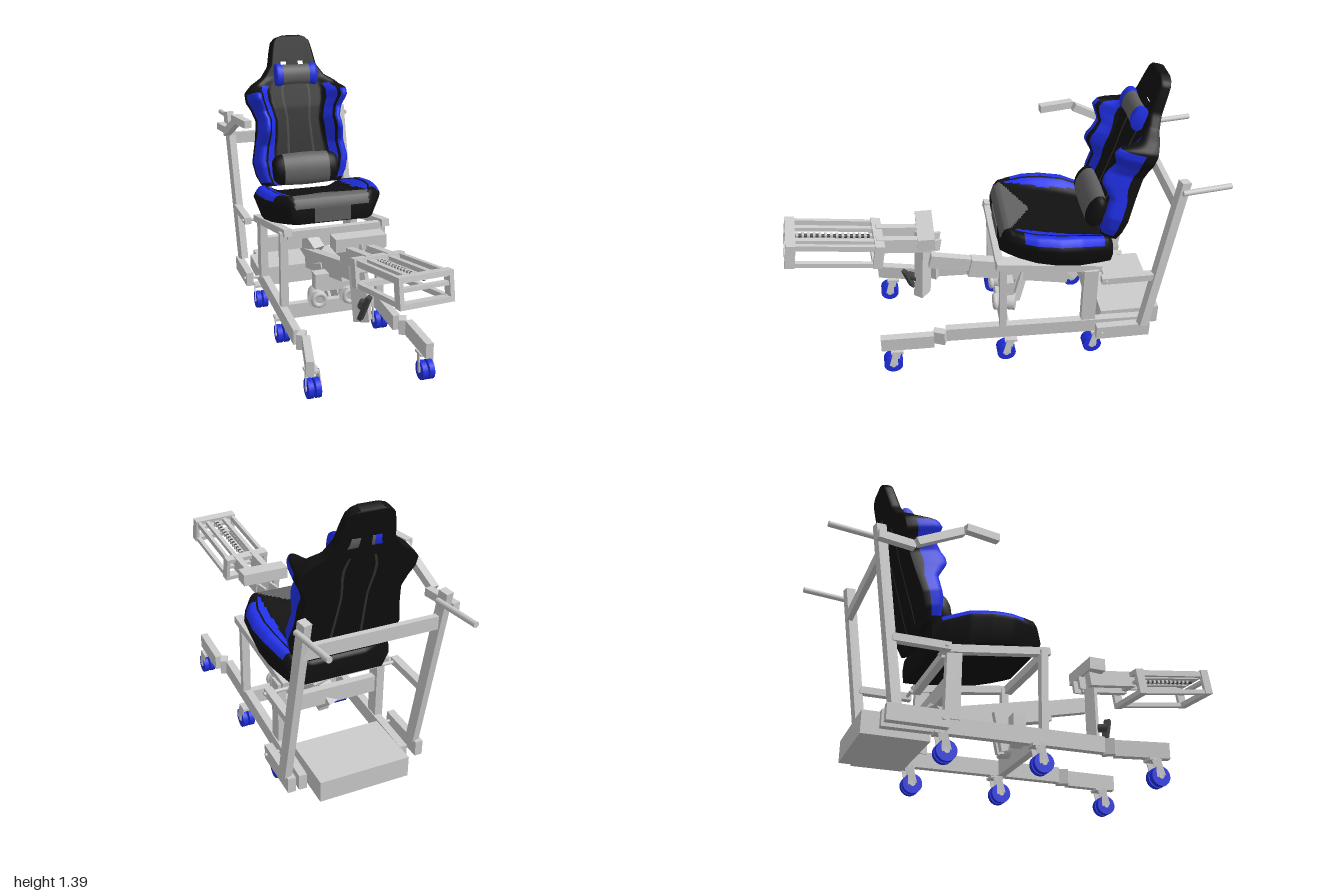
import * as THREE from 'three';

const mat = (color, side = THREE.FrontSide) => new THREE.MeshStandardMaterial({ color, side });
const GREY = mat(0xcccccc);
const BLACK = mat(0x111111, THREE.DoubleSide), BLUE = mat(0x2030e8, THREE.DoubleSide);
const CLOTH = mat(0x606060, THREE.DoubleSide), TRIM = mat(0x363630, THREE.DoubleSide), DARK = mat(0x444444);
const V = (x, y, z) => new THREE.Vector3(x, y, z);

function add(parent, name, geo, material, x = 0, y = 0, z = 0) {
  const m = new THREE.Mesh(geo, material);
  m.name = name;
  m.position.set(x, y, z);
  parent.add(m);
  return m;
}
const box = (p, name, w, h, d, x, y, z, material = GREY) => add(p, name, new THREE.BoxGeometry(w, h, d), material, x, y, z);

// Square bar between two points; w is its horizontal width, h its depth
function bar(p, name, a, b, w, h, material = GREY) {
  const m = box(p, name, w, h, a.distanceTo(b), ...a.clone().lerp(b, 0.5).toArray(), material);
  m.lookAt(b);
  return m;
}
const path = (p, name, pts, w, h) => pts.slice(1).forEach((q, i) => bar(p, name, pts[i], q, w, h));

function rod(p, name, a, b, r, material = GREY) {
  const geo = new THREE.CylinderGeometry(r, r, a.distanceTo(b), 16).rotateX(Math.PI / 2);
  const m = add(p, name, geo, material, ...a.clone().lerp(b, 0.5).toArray());
  m.lookAt(b);
  return m;
}

// Piecewise-linear lookup in [position, value] pairs
function lookup(table, t) {
  if (t <= table[0][0]) return table[0][1];
  for (let i = 1; i < table.length; i++) {
    const [a, av] = table[i - 1], [b, bv] = table[i];
    if (t <= b) return av + (bv - av) * (t - a) / (b - a);
  }
  return table[table.length - 1][1];
}

// Cushion made of a face sheet and an under sheet joined at the rim; paint() picks the cloth per cell
function cushion(p, name, nu, nv, face, under, paint) {
  const pos = [], buckets = new Map();
  const id = (s, i, j) => s * (nu + 1) * (nv + 1) + j * (nu + 1) + i;
  for (const fn of [face, under]) for (let j = 0; j <= nv; j++) for (let i = 0; i <= nu; i++)
    pos.push(...fn(i / nu * 2 - 1, j / nv));
  const quad = (m, a, b, c, d) => {
    if (!m) return;
    if (!buckets.has(m)) buckets.set(m, []);
    buckets.get(m).push(a, b, c, a, c, d);
  };
  for (let j = 0; j < nv; j++) {
    for (let i = 0; i < nu; i++) for (const s of [0, 1]) {
      const q = [id(s, i, j), id(s, i + 1, j), id(s, i + 1, j + 1), id(s, i, j + 1)];
      quad(paint((i + 0.5) / nu * 2 - 1, (j + 0.5) / nv, s), ...(s ? q.reverse() : q));
    }
    quad(BLACK, id(0, nu, j), id(1, nu, j), id(1, nu, j + 1), id(0, nu, j + 1));
    quad(BLACK, id(1, 0, j), id(0, 0, j), id(0, 0, j + 1), id(1, 0, j + 1));
  }
  for (let i = 0; i < nu; i++) {
    quad(BLACK, id(1, i, 0), id(1, i + 1, 0), id(0, i + 1, 0), id(0, i, 0));
    quad(BLACK, id(0, i, nv), id(0, i + 1, nv), id(1, i + 1, nv), id(1, i, nv));
  }
  const whole = new THREE.BufferGeometry();
  whole.setAttribute('position', new THREE.Float32BufferAttribute(pos, 3));
  whole.setIndex([...buckets.values()].flat());
  whole.computeVertexNormals();
  for (const [m, index] of buckets) {
    const g = new THREE.BufferGeometry();
    g.setAttribute('position', whole.attributes.position);
    g.setAttribute('normal', whole.attributes.normal);
    g.setIndex(index);
    add(p, name, g, m);
  }
}

// Round pillow lying along x with differently coloured ends
function pillow(p, name, pts, split, depth, mid, end, y, z) {
  const g = new THREE.Group();
  g.name = name;
  const full = [...pts.map(([x, r]) => [-x, r]).reverse(), ...pts];
  const piece = (f, m) => {
    const geo = new THREE.LatheGeometry(full.filter(f).map(([x, r]) => new THREE.Vector2(r, x)), 28);
    add(g, name, geo.rotateZ(-Math.PI / 2).scale(1, 1, depth), m);
  };
  piece(([x]) => Math.abs(x) <= split, mid);
  piece(([x]) => x >= split, end);
  piece(([x]) => x <= -split, end);
  g.position.set(0, y, z);
  p.add(g);
}

function caster(p, x, z) {
  const g = new THREE.Group();
  g.name = 'caster';
  for (const s of [-1, 1]) {
    const tyre = new THREE.CylinderGeometry(0.045, 0.045, 0.024, 24).rotateZ(Math.PI / 2);
    add(g, 'wheel', tyre, BLUE, s * 0.017, 0.047, 0);
    rod(g, 'hub', V(s * 0.028, 0.047, 0), V(s * 0.033, 0.047, 0), 0.013);
    bar(g, 'fork', V(s * 0.031, 0.045, 0), V(s * 0.027, 0.128, -0.022), 0.004, 0.04);
  }
  box(g, 'forkTop', 0.06, 0.012, 0.06, 0, 0.122, -0.022);
  g.position.set(x, 0, z);
  p.add(g);
}

function buildFrame(p) {
  for (const s of [-1, 1]) {
    const x = s * 0.244, o = s * 0.31;
    path(p, 'baseRail', [V(x, 0.163, -0.7), V(x, 0.163, 0.28), V(s * 0.25, 0.163, 0.34), V(s * 0.275, 0.163, 0.59)], 0.036, 0.073);
    box(p, 'frontPost', 0.038, 0.38, 0.033, x, 0.385, 0.005);
    box(p, 'rearPost', 0.038, 0.31, 0.068, x, 0.345, -0.41);
    bar(p, 'seatRail', V(x, 0.58, 0.04), V(x, 0.497, -0.46), 0.038, 0.035);
    box(p, 'lowerClamp', 0.036, 0.073, 0.26, o, 0.163, -0.57);
    box(p, 'upperClamp', 0.036, 0.034, 0.25, o, 0.487, -0.57);
    bar(p, 'backUpright', V(o, 0.2, -0.662), V(o, 0.995, -0.785), 0.038, 0.046);
    rod(p, 'pushHandle', V(o, 0.952, -0.77), V(o, 0.952, -1), 0.013);
    for (const y of [0.163, 0.487]) rod(p, 'pin', V(s * 0.22, y, -0.465), V(s * 0.337, y, -0.465), 0.008);
    caster(p, s * 0.265, 0.54);
    caster(p, s * 0.254, -0.01);
    caster(p, s * 0.254, -0.435);
  }
  box(p, 'frontCrossbar', 0.46, 0.073, 0.035, 0, 0.163, -0.01);
  box(p, 'rearCrossbar', 0.46, 0.08, 0.035, 0, 0.365, -0.41);
  box(p, 'seatFrontBar', 0.46, 0.04, 0.035, 0, 0.565, 0.02);
  box(p, 'seatRearBar', 0.46, 0.035, 0.035, 0, 0.49, -0.44);
  box(p, 'pushBar', 0.6, 0.06, 0.026, 0, 0.855, -0.772);
  box(p, 'ballastBox', 0.425, 0.1, 0.29, 0, 0.148, -0.63);
  path(p, 'armrest', [V(-0.355, 1.042, -0.25), V(-0.355, 1.042, -0.415), V(-0.355, 0.92, -0.63), V(-0.355, 0.92, -0.8)], 0.036, 0.036);
}

function buildLegSupport(p) {
  const x = 0.008;
  bar(p, 'mainBeam', V(x, 0.455, 0.33), V(x, 0.285, -0.37), 0.036, 0.072);
  bar(p, 'beamSleeve', V(x, 0.4, 0.14), V(x, 0.281, -0.36), 0.05, 0.1);
  bar(p, 'beamMount', V(x, 0.31, -0.34), V(x, 0.37, -0.41), 0.07, 0.1);
  bar(p, 'supportPost', V(x, 0.25, 0.375), V(x, 0.62, 0.352), 0.048, 0.074);
  box(p, 'crossPlate', 0.235, 0.06, 0.08, x, 0.625, 0.345);
  rod(p, 'clampKnob', V(x, 0.35, 0.39), V(x, 0.35, 0.44), 0.02, DARK);
  bar(p, 'clampLever', V(x, 0.4, 0.455), V(x, 0.28, 0.42), 0.03, 0.02, DARK);
  // Roller bracket and strut beneath the beam
  box(p, 'rollerBracket', 0.18, 0.09, 0.06, x, 0.285, -0.04);
  for (const s of [-1, 1]) {
    rod(p, 'roller', V(x + s * 0.08, 0.212, -0.08), V(x + s * 0.08, 0.212, 0.02), 0.042);
    add(p, 'rollerRing', new THREE.TorusGeometry(0.03, 0.012, 10, 24), GREY, x + s * 0.08, 0.212, 0.022);
    bar(p, 'strut', V(x + s * 0.025, 0.17, -0.085), V(x + s * 0.025, 0.34, -0.135), 0.015, 0.05);
    bar(p, 'footArm', V(x + s * 0.048, 0.61, 0.58), V(x + s * 0.048, 0.565, 0.32), 0.032, 0.075);
    bar(p, 'armBracket', V(x + s * 0.03, 0.56, 0.34), V(x + s * 0.03, 0.545, 0.275), 0.012, 0.06);
  }
  // Footrest: two open end frames joined by slats with a screw in the middle
  const f = new THREE.Group();
  f.name = 'footrest';
  for (const z of [-0.2, 0.2]) {
    for (const s of [-1, 1]) {
      box(f, 'endFrameSide', 0.018, 0.125, 0.045, s * 0.108, 0, z);
      box(f, 'endFrameBar', 0.234, 0.022, 0.045, 0, s * 0.052, z);
    }
    box(f, 'endFrameMiddle', 0.234, 0.016, 0.03, 0, 0.01, z);
  }
  for (const s of [-1, 1]) {
    box(f, 'outerSlat', 0.018, 0.028, 0.4, s * 0.1, 0.045, 0);
    box(f, 'innerSlat', 0.022, 0.02, 0.4, s * 0.05, 0.045, 0);
    box(f, 'lowerSlat', 0.022, 0.022, 0.4, s * 0.1, -0.05, 0);
  }
  rod(f, 'screw', V(0, 0.04, -0.2), V(0, 0.04, 0.2), 0.009, DARK);
  for (let i = 0; i < 14; i++) box(f, 'screwThread', 0.026, 0.02, 0.012, 0, 0.04, -0.17 + i * 0.026);
  f.rotation.set(-0.175, 0.085, 0, 'YXZ');
  f.position.set(0.033, 0.613, 0.772);
  p.add(f);
}

function buildSeat(p) {
  const top = [[-0.51, 0.6], [-0.49, 0.625], [-0.4, 0.645], [-0.2, 0.69], [-0.1, 0.715], [-0.03, 0.735], [-0.005, 0.72], [0.012, 0.68]];
  const half = [[-0.51, 0.24], [-0.45, 0.265], [-0.35, 0.3], [-0.25, 0.312], [-0.15, 0.3], [-0.07, 0.265], [-0.02, 0.23], [0.012, 0.2]];
  const lift = [[-0.51, 0.03], [-0.35, 0.045], [-0.2, 0.03], [-0.05, 0], [0.012, 0]];
  const zAt = v => 0.012 - 0.522 * v;
  const face = (u, v) => {
    const z = zAt(v), a = Math.abs(u), drop = Math.max(0, (a - 0.86) / 0.14);
    const y = lookup(top, z) + lookup(lift, z) * THREE.MathUtils.smoothstep(a, 0.5, 0.85) - 0.05 * drop * drop;
    return [u * lookup(half, z), y, z];
  };
  const under = (u, v) => [u * lookup(half, zAt(v)) * 0.87, 0.605 - 0.09 * v, zAt(v)];
  cushion(p, 'seatCushion', 60, 60, face, under, (u, v, s) => {
    const a = Math.abs(u), z = zAt(v), x = a * lookup(half, z);
    if (s) return BLACK;
    if (x < 0.185 && z > -0.15 + x * 0.6) return CLOTH;
    if (a > 0.8 && a < 0.97 && z < -0.09 && z > -0.47) return BLUE;
    return x > 0.19 && a < 0.76 && z < -0.02 && z > -0.48 ? BLUE : BLACK;
  });
  box(p, 'seatFrontPanel', 0.18, 0.07, 0.012, 0, 0.645, 0.01, CLOTH);
}

function buildBackrest(p) {
  const g = new THREE.Group(), H = 0.775;
  g.name = 'backrest';
  const half = [[0, 0.21], [0.06, 0.24], [0.13, 0.253], [0.25, 0.228], [0.34, 0.215], [0.4, 0.237], [0.44, 0.26], [0.49, 0.262],
    [0.53, 0.225], [0.565, 0.17], [0.62, 0.13], [0.7, 0.114], [0.745, 0.102], [0.765, 0.082], [H, 0.05]];
  const wing = [[0, 0.07], [0.1, 0.1], [0.21, 0.107], [0.275, 0.168], [0.31, 0.17], [0.385, 0.14], [0.445, 0.18], [0.475, 0.168], [0.51, 0.08], [0.56, 0.052], [H, 0.045]];
  const core = [[0, 0.06], [0.4, 0.06], [0.56, 0.05], [H, 0.045]];
  const face = (u, v) => {
    const y = v * H, a = Math.abs(u), c = lookup(core, y);
    const edge = Math.max(0, (a - 0.86) / 0.14);
    const z = (c + (lookup(wing, y) - c) * THREE.MathUtils.smoothstep(a, 0.5, 0.86)) * (0.3 + 0.7 * Math.sqrt(1 - edge * edge));
    return [u * lookup(half, y), y, z];
  };
  const under = (u, v) => [u * lookup(half, v * H), v * H, 0];
  cushion(g, 'backCushion', 80, 78, face, under, (u, v, s) => {
    const a = Math.abs(u), y = v * H;
    if (y > 0.595 && y < 0.645 && a > 0.2 && a < 0.52) return null; // strap openings
    if (y > 0.05 && y < 0.55 && a > 0.25 && a < 0.3) return TRIM;
    if (s) return BLACK;
    if (a > 0.6 && a < 0.75 && y < 0.52) return BLUE;
    return a > 0.8 && a < 0.99 && y > 0.02 && y < 0.48 ? BLUE : BLACK;
  });
  pillow(g, 'lumbarPillow', [[0.02, 0.084], [0.12, 0.08], [0.15, 0.073], [0.168, 0.055], [0.172, 0]], 0.12, 0.58, CLOTH, BLACK, 0.08, 0.108);
  pillow(g, 'headPillow', [[0.02, 0.05], [0.07, 0.052], [0.095, 0.058], [0.108, 0.055], [0.11, 0]], 0.07, 0.65, CLOTH, BLUE, 0.568, 0.075);
  g.position.set(0, 0.64, -0.525);
  g.rotation.x = -0.285;
  p.add(g);
}

export function createModel() {
  const root = new THREE.Group(), chair = new THREE.Group();
  chair.name = 'therapyChair';
  chair.position.x = 0.015;
  buildFrame(chair);
  buildLegSupport(chair);
  buildSeat(chair);
  buildBackrest(chair);
  root.add(chair);
  return root;
}
